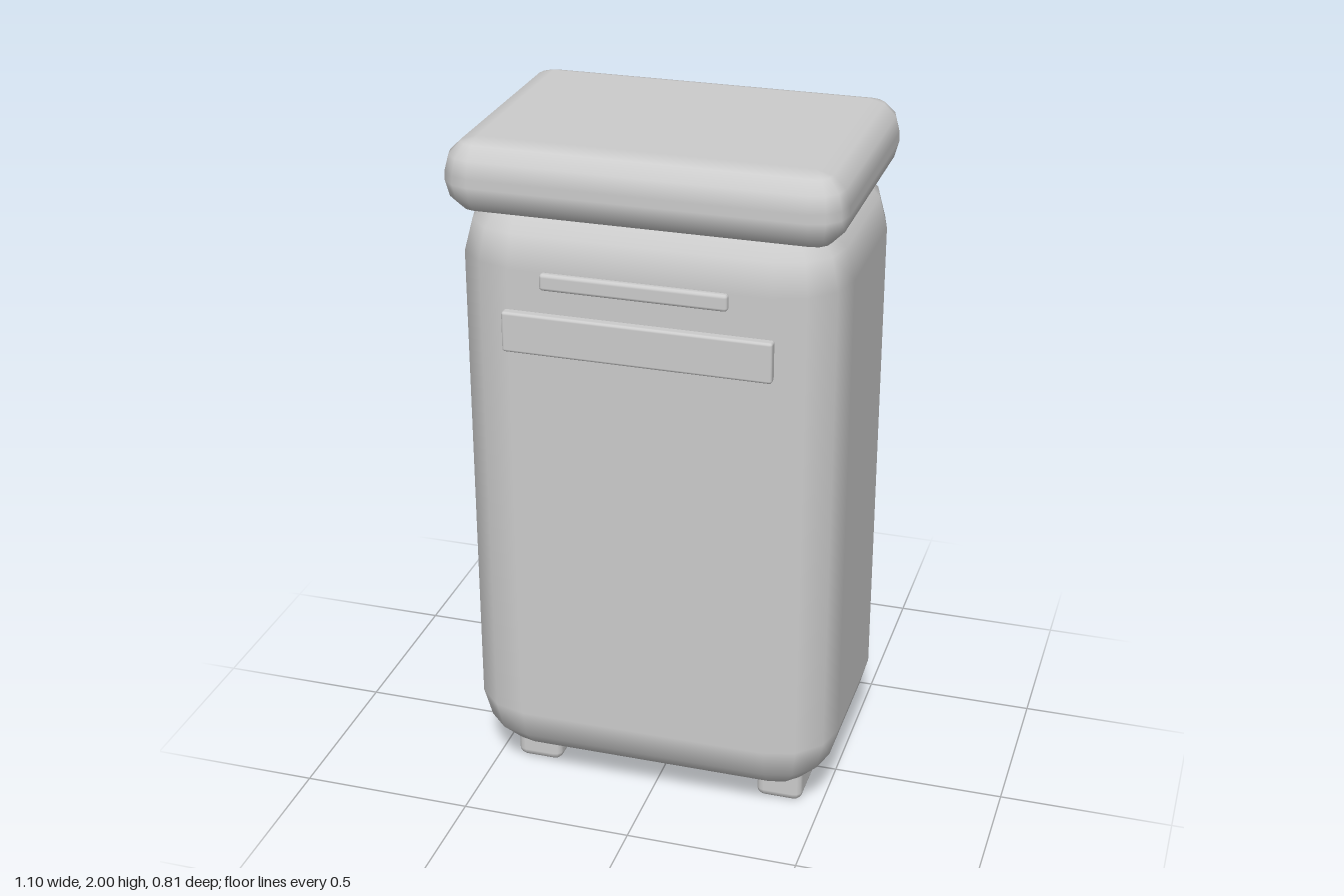
import * as THREE from 'three';

const ARC = 3; // flat steps round each quarter bend

// Box with rounded edges: a sphere grid whose eight octants are pulled apart to the corners.
function roundedBox(min, max, r) {
  const cols = 4 * (ARC + 1), rows = 2 * ARC + 3;
  const geo = new THREE.SphereGeometry(1, cols, rows);
  const pos = geo.attributes.position, nor = geo.attributes.normal;
  const mid = min.map((v, i) => (v + max[i]) / 2);
  const half = min.map((v, i) => (max[i] - v) / 2 - r);
  const step = Math.PI / 2 / ARC;
  for (let j = 0; j <= rows; j++) {
    const pole = j === 0 || j === rows; // centre of the top or bottom face
    const upper = j <= ARC + 1;
    const phi = j === 0 ? 0 : j === rows ? Math.PI : (upper ? j - 1 : j - 2) * step;
    for (let i = 0; i <= cols; i++) {
      const k = i % cols, quad = Math.floor(k / (ARC + 1));
      const theta = quad * Math.PI / 2 + (k % (ARC + 1)) * step;
      const diag = quad * Math.PI / 2 + Math.PI / 4;
      const n = [-Math.cos(theta) * Math.sin(phi), Math.cos(phi), Math.sin(theta) * Math.sin(phi)];
      const s = [pole ? 0 : -Math.sign(Math.cos(diag)), upper ? 1 : -1, pole ? 0 : Math.sign(Math.sin(diag))];
      const p = n.map((v, a) => mid[a] + s[a] * half[a] + v * r);
      pos.setXYZ(j * (cols + 1) + i, ...p);
      nor.setXYZ(j * (cols + 1) + i, ...n);
    }
  }
  return geo;
}

export function createModel() {
  const group = new THREE.Group();
  const grey = new THREE.MeshStandardMaterial({ color: 0xcccccc });
  grey.name = 'light grey';

  const add = (name, min, max, r) => {
    const mesh = new THREE.Mesh(roundedBox(min, max, r), grey);
    mesh.name = name;
    group.add(mesh);
  };

  // Bin body and overhanging lid
  add('body', [-0.545, 0.08, -0.407], [0.54, 1.84, 0.355], 0.18);
  add('lid', [-0.55, 1.795, -0.403], [0.547, 2, 0.386], 0.09);

  // Front plate and the handle bar standing proud above it
  add('frontPlate', [-0.377, 1.43, 0.356], [0.373, 1.546, 0.388], 0.008);
  add('handle', [-0.26, 1.627, 0.382], [0.256, 1.675, 0.407], 0.01);

  // Two long runners under the body
  add('rightFoot', [-0.444, 0, -0.25], [-0.306, 0.14, 0.202], 0.025);
  add('leftFoot', [0.302, 0, -0.25], [0.44, 0.14, 0.202], 0.025);

  return group;
}
